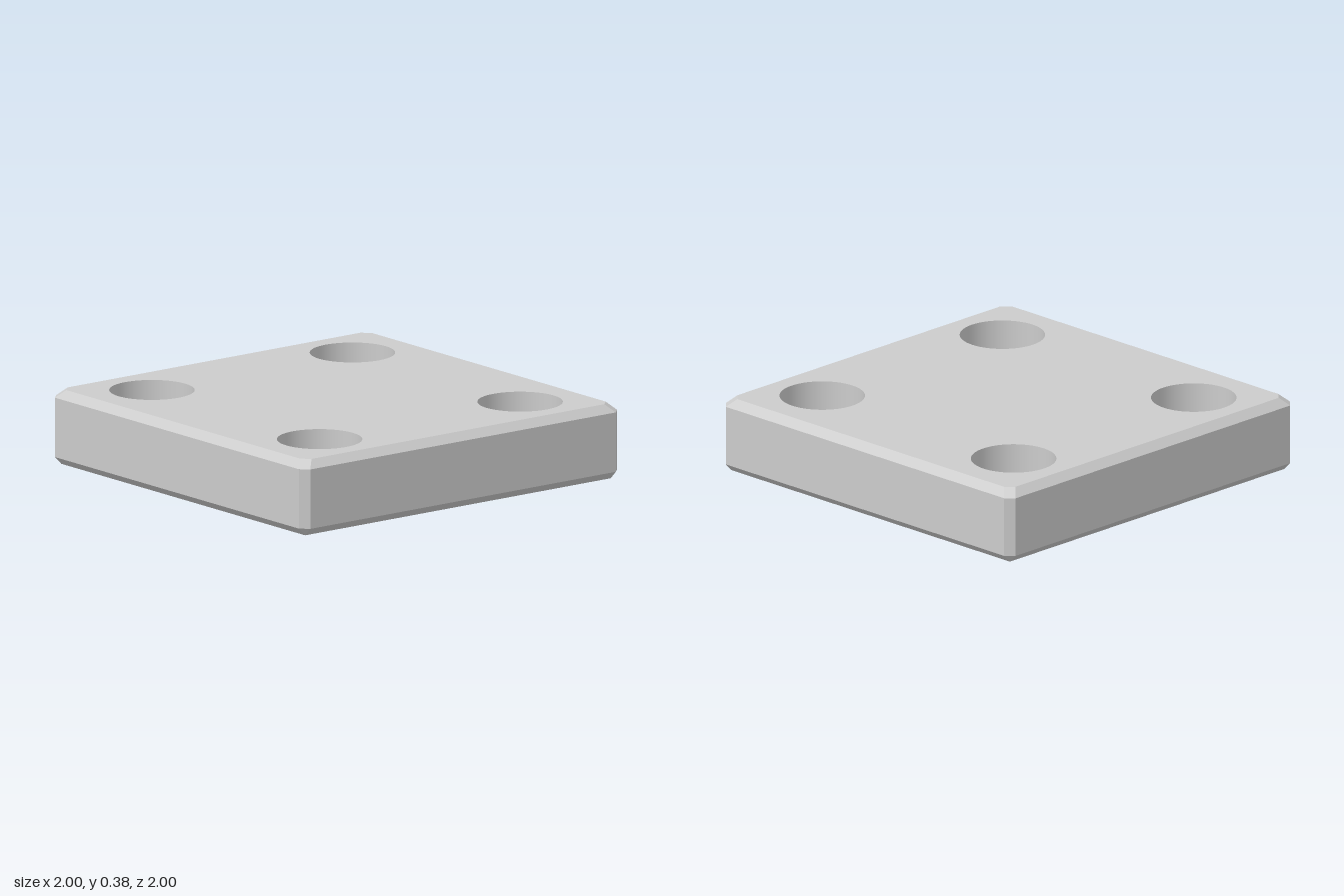
import * as THREE from 'three';

const HEIGHT = 0.38, BEVEL = 0.04, HOLE_R = 0.21, HOLE_X = 0.63, HOLE_Z = 0.66, SEGMENTS = 64;

// Square outline with cut corners, as eight [x, z] points
function outline(half, cut) {
  const a = half, b = half - cut;
  return [[a, -b], [a, b], [b, a], [-b, a], [-a, b], [-a, -b], [-b, -a], [b, -a]];
}

// Flat face with the four round holes
function capGeometry(half, cut) {
  let points = outline(half, cut);
  if (cut === 0) points = points.filter((p, i) => i % 2 === 0);
  const shape = new THREE.Shape(points.map(([x, z]) => new THREE.Vector2(x, -z)));
  for (const x of [-HOLE_X, HOLE_X]) {
    for (const z of [-HOLE_Z, HOLE_Z]) {
      shape.holes.push(new THREE.Path().absarc(x, z, HOLE_R, 0, Math.PI * 2, true));
    }
  }
  return new THREE.ShapeGeometry(shape, SEGMENTS / 2);
}

// Flat-faced skin joining the stacked outlines
function rimGeometry(sections) {
  const pos = [];
  const triangle = (a, b, c) => {
    const [A, B, C] = [a, b, c].map((p) => new THREE.Vector3(...p));
    const area = B.clone().sub(A).cross(C.clone().sub(A)).length();
    if (area > 1e-6) pos.push(...a, ...b, ...c);
  };
  const rings = sections.map(([y, half, cut]) => outline(half, cut).map(([x, z]) => [x, y, z]));
  for (let r = 0; r < rings.length - 1; r++) {
    for (let i = 0; i < 8; i++) {
      const j = (i + 1) % 8, low = rings[r], high = rings[r + 1];
      triangle(low[i], high[i], high[j]);
      triangle(low[i], high[j], low[j]);
    }
  }
  const geometry = new THREE.BufferGeometry();
  geometry.setAttribute('position', new THREE.Float32BufferAttribute(pos, 3));
  geometry.computeVertexNormals();
  return geometry;
}

export function createModel() {
  const group = new THREE.Group();
  group.name = 'plate';
  const material = new THREE.MeshStandardMaterial({ color: 0xcccccc });
  const wallMaterial = new THREE.MeshStandardMaterial({ color: 0xcccccc, side: THREE.DoubleSide });
  const add = (name, geometry, mat = material) => {
    const mesh = new THREE.Mesh(geometry, mat);
    mesh.name = name;
    group.add(mesh);
    return mesh;
  };

  // Bevelled sides: bottom corners come to a point, top corners stay cut
  add('bevelledRim', rimGeometry([
    [0, 1 - BEVEL, 0],
    [BEVEL, 1, BEVEL],
    [HEIGHT - BEVEL, 1, BEVEL],
    [HEIGHT, 1 - BEVEL, BEVEL],
  ]));

  // Top and bottom faces
  add('topFace', capGeometry(1 - BEVEL, BEVEL).rotateX(-Math.PI / 2)).position.y = HEIGHT;
  add('bottomFace', capGeometry(1 - BEVEL, 0).rotateX(Math.PI / 2));

  // Walls of the through holes, turned so their corners meet the cap openings
  for (const x of [-HOLE_X, HOLE_X]) {
    for (const z of [-HOLE_Z, HOLE_Z]) {
      const wall = new THREE.CylinderGeometry(HOLE_R, HOLE_R, HEIGHT, SEGMENTS, 1, true);
      add('holeWall', wall, wallMaterial).position.set(x, HEIGHT / 2, z);
    }
  }
  return group;
}
